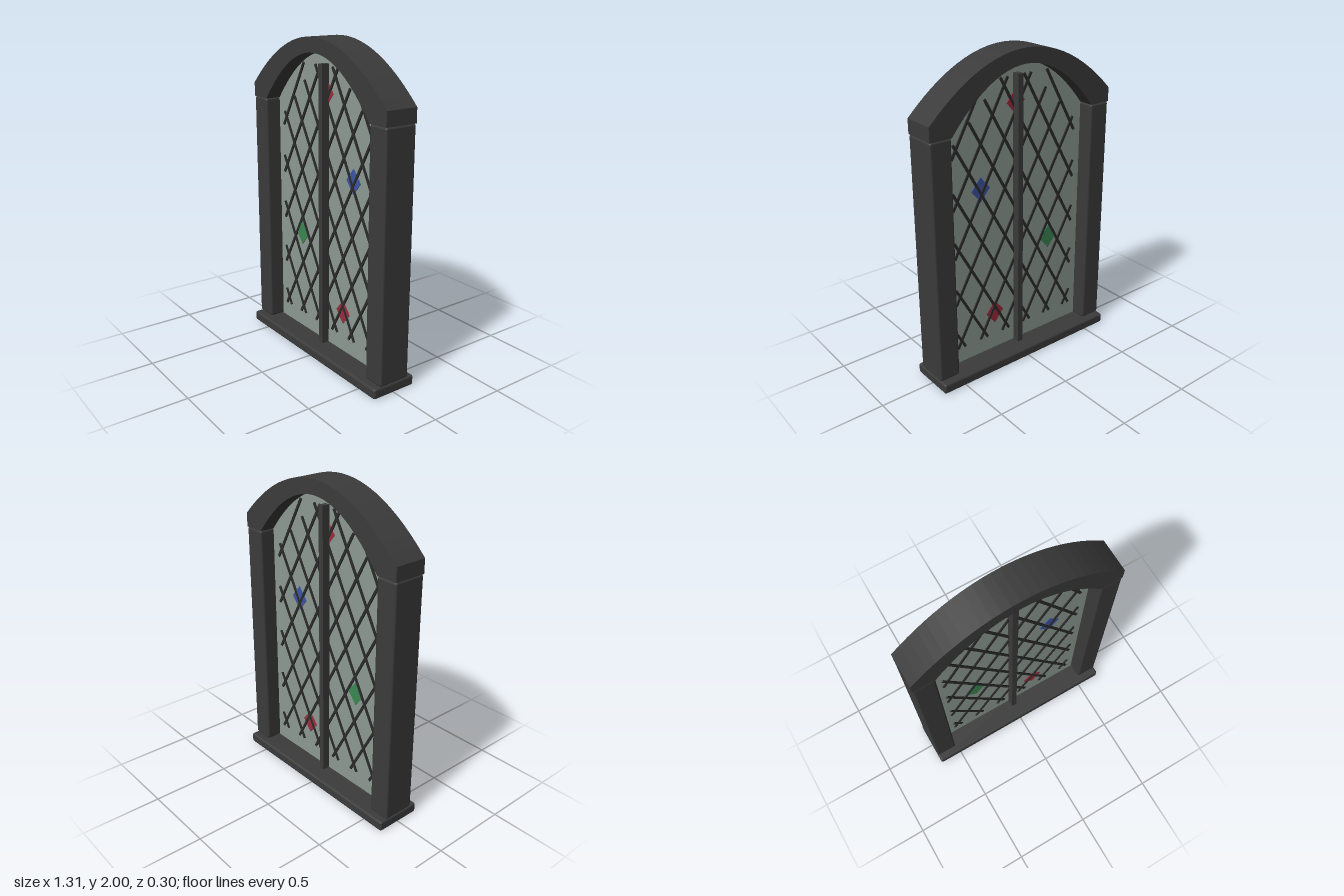
import * as THREE from 'three';
import { RoundedBoxGeometry } from 'three/addons/geometries/RoundedBoxGeometry.js';

const material = (name, color) => {
  const m = new THREE.MeshStandardMaterial({ color });
  m.name = name;
  return m;
};

export function createModel() {
  const iron = material('dark frame', 0x3b3b3b);
  const lead = material('lead', 0x2b2b2b);
  const glass = material('pale glass', 0x8d9a93);
  const red = material('red glass', 0x9c2c3c);
  const blue = material('blue glass', 0x3c55a2);
  const green = material('green glass', 0x3b8552);

  const model = new THREE.Group();
  model.name = 'archedWindow';

  const add = (name, geometry, mat, x = 0, y = 0, z = 0, parent = model) => {
    const mesh = new THREE.Mesh(geometry, mat);
    mesh.name = name;
    mesh.position.set(x, y, z);
    parent.add(mesh);
    return mesh;
  };

  // Extrude a shape so that it is centred on z = 0
  const slab = (shape, depth) =>
    new THREE.ExtrudeGeometry(shape, { depth, bevelEnabled: false, curveSegments: 24 })
      .translate(0, 0, -depth / 2);

  // Sill and side posts
  add('sill', new RoundedBoxGeometry(1.31, 0.065, 0.3, 2, 0.014), iron, 0, 0.0325);
  for (const [side, name] of [[1, 'leftPost'], [-1, 'rightPost']]) {
    add(name, new RoundedBoxGeometry(0.14, 1.518, 0.21, 2, 0.014), iron, side * 0.585, 0.823);
  }

  // Arched head with a flat foot on each post
  const arch = new THREE.Shape();
  arch.moveTo(0.655, 1.582);
  arch.lineTo(0.655, 1.67);
  arch.quadraticCurveTo(0, 2.33, -0.655, 1.67);
  arch.lineTo(-0.655, 1.582);
  arch.lineTo(-0.515, 1.582);
  arch.quadraticCurveTo(0, 2.238, 0.515, 1.582);
  add('archHead', slab(arch, 0.21), iron);

  // Main pane, tucked slightly into the frame
  const pane = new THREE.Shape();
  pane.moveTo(-0.525, 0.05);
  pane.lineTo(0.525, 0.05);
  pane.lineTo(0.525, 1.59);
  pane.quadraticCurveTo(0, 2.25, -0.525, 1.59);
  add('glassPane', slab(pane, 0.01), glass);

  // Central upright
  add('mullion', new THREE.BoxGeometry(0.036, 1.785, 0.11), iron, 0, 0.9525);

  // Diagonal lattice: parallel bars clipped to the opening, then mirrored
  const lattice = new THREE.Group();
  lattice.name = 'lattice';
  model.add(lattice);
  const slope = 1.817;
  for (let k = -5; k <= 4; k++) {
    const c = 1.001 + 0.3125 * k;
    const x0 = Math.max(-0.46, (0.17 - c) / slope);
    const x1 = Math.min(0.46, (1.83 - c) / slope, (1.95 - c) / (1 + slope));
    const length = (x1 - x0) * Math.hypot(1, slope);
    const x = (x0 + x1) / 2;
    for (const side of [1, -1]) {
      const bar = add('latticeBar', new THREE.BoxGeometry(length, 0.016, 0.026),
        lead, side * x, c + slope * x, 0, lattice);
      bar.rotation.z = side * Math.atan(slope);
    }
  }

  // Coloured diamond panes, visible on both faces
  const diamond = new THREE.Shape();
  diamond.moveTo(0.066, 0);
  diamond.lineTo(0, 0.078);
  diamond.lineTo(-0.066, 0);
  diamond.lineTo(0, -0.078);
  const diamondGeometry = slab(diamond, 0.018);
  add('topDiamond', diamondGeometry, red, 0, 1.675);
  add('upperDiamond', diamondGeometry, blue, 0.262, 1.19);
  add('middleDiamond', diamondGeometry, green, -0.265, 0.73);
  add('lowerDiamond', diamondGeometry, red, 0.17, 0.33);

  return model;
}
